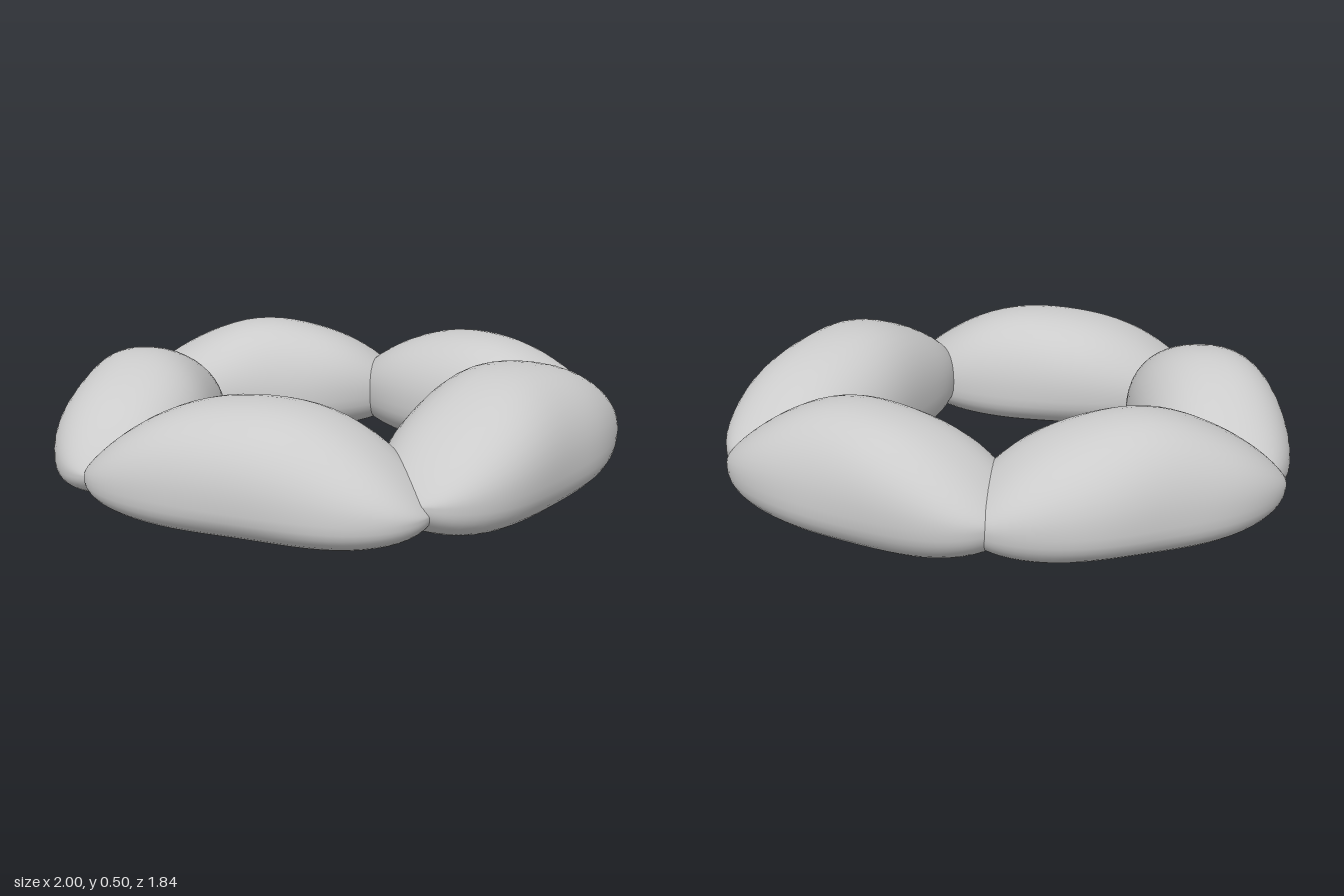
import * as THREE from 'three';
import { mergeVertices } from 'three/addons/utils/BufferGeometryUtils.js';

const material = new THREE.MeshStandardMaterial({ color: 0xcccccc });

// Signed power, used for slightly squarish sections
const spow = (v, p) => Math.sign(v) * Math.pow(Math.abs(v), p);
// Taper from 1 in the middle to 0 at the tips
const taper = (u, p, q) => Math.pow(Math.max(0, 1 - Math.pow(Math.abs(u), p)), q);

// One loaf-shaped lobe running from tip a to tip b (x, z)
function makeLobe(name, a, b, { width, height, bulge, belly, floor, seed }) {
  const start = new THREE.Vector2(...a), end = new THREE.Vector2(...b);
  const dir = end.clone().sub(start);
  const half = dir.length() / 2;
  dir.normalize();
  const mid = start.add(end).multiplyScalar(0.5);
  const out = new THREE.Vector2(-dir.y, dir.x);

  let geo = new THREE.SphereGeometry(1, 44, 36);
  geo.deleteAttribute('uv');
  geo.deleteAttribute('normal');
  const pos = geo.attributes.position;
  for (let i = 0; i < pos.count; i++) {
    const u = pos.getY(i);
    const ang = Math.atan2(pos.getZ(i), pos.getX(i));
    const c = Math.cos(ang), s = Math.sin(ang);
    // Soft hand-shaped unevenness
    const dent = 1 + 0.01 * Math.sin(3 * ang + 4 * u + seed) + 0.01 * Math.sin(2 * ang - 7 * u + seed * 2);
    const across = spow(c, 0.9) * width * taper(u, 2.6, 0.5) * dent + bulge * (1 - u * u);
    // High, steadily sloping back above; flatter underside below
    const rise = s > 0
      ? spow(s, 0.92) * (height - belly) * taper(u, 2, 0.85) * dent
      : spow(s, 0.8) * (belly - floor) * taper(u, 3.2, 0.5);
    pos.setXYZ(i,
      mid.x + dir.x * half * u + out.x * across,
      belly + rise,
      mid.y + dir.y * half * u + out.y * across);
  }
  geo = mergeVertices(geo, 1e-5);
  geo.computeVertexNormals();
  const mesh = new THREE.Mesh(geo, material);
  mesh.name = name;
  return mesh;
}

export function createModel() {
  const ring = new THREE.Group();
  ring.name = 'lobedRing';

  // Name, both tips, then shape; neighbouring tips bury into each other
  const lobes = [
    ['frontLobe', [-0.62, 0.67], [0.6, 0.69],
      { width: 0.295, height: 0.455, bulge: -0.055, belly: 0.16, floor: 0.015, seed: 0.5 }],
    ['leftLobe', [0.53, 0.72], [0.83, -0.54],
      { width: 0.29, height: 0.495, bulge: -0.01, belly: 0.19, floor: 0.01, seed: 1.7 }],
    ['backRightSideLobe', [0.92, -0.4], [-0.16, -0.78],
      { width: 0.265, height: 0.45, bulge: -0.015, belly: 0.17, floor: 0, seed: 4.1 }],
    ['backLeftSideLobe', [0.03, -0.79], [-0.96, -0.2],
      { width: 0.275, height: 0.45, bulge: 0, belly: 0.16, floor: 0.01, seed: 2.9 }],
    ['rightLobe', [-0.84, -0.32], [-0.56, 0.74],
      { width: 0.275, height: 0.455, bulge: -0.03, belly: 0.15, floor: 0.015, seed: 5.3 }],
  ];
  for (const lobe of lobes) ring.add(makeLobe(...lobe));
  return ring;
}
